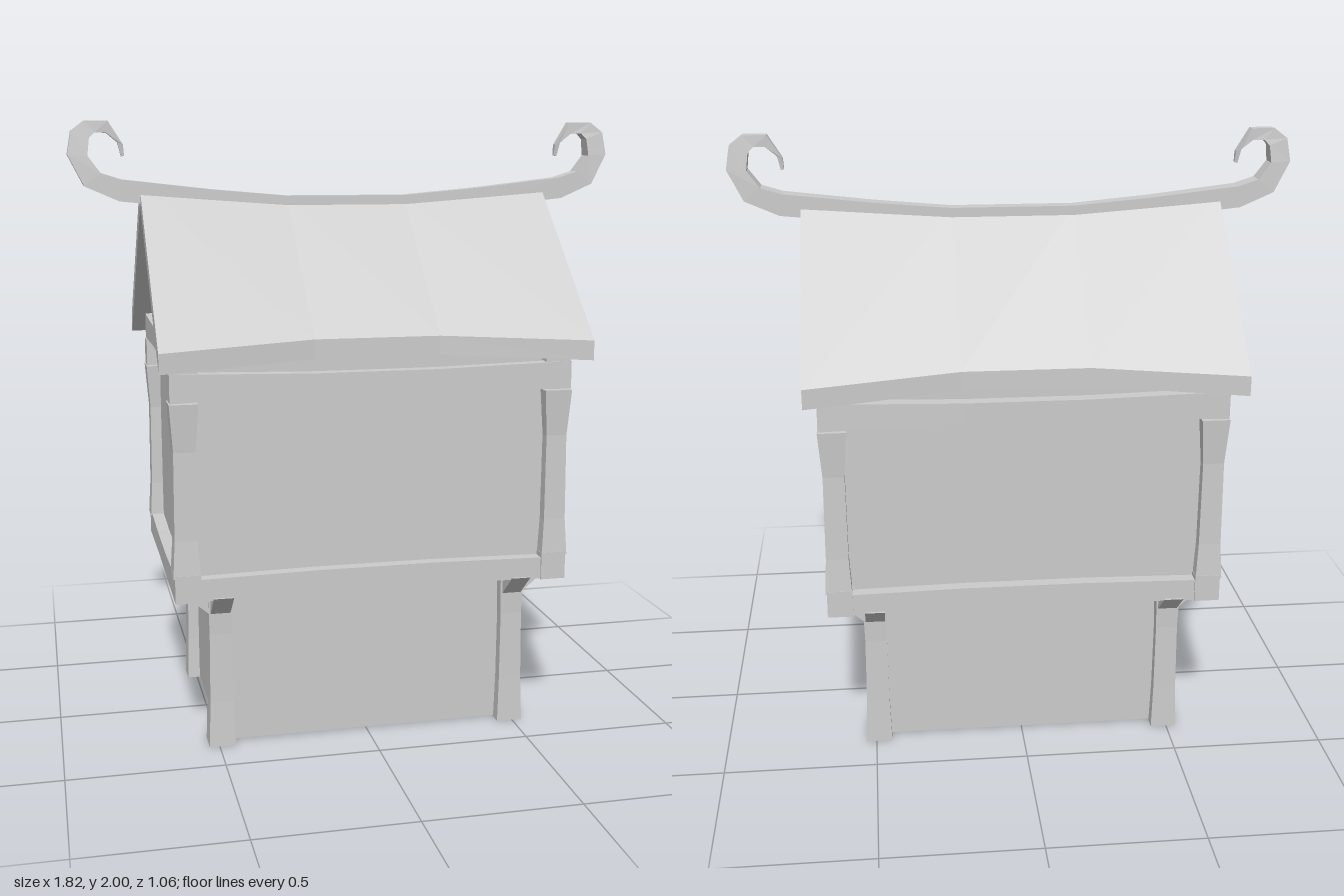
import * as THREE from 'three';

const grey = new THREE.MeshStandardMaterial({ color: 0xcccccc, flatShading: true });
const sheet = new THREE.MeshStandardMaterial({ color: 0xcccccc, flatShading: true, side: THREE.DoubleSide });

// Faceted solid skinned over a list of rings (each ring: array of [x, y, z])
function loft(name, rings, { capped = true, material = grey } = {}) {
  const tris = [];
  const quad = (a, b, c, d) => tris.push([a, b, c], [a, c, d]);
  const n = rings[0].length;
  for (let i = 0; i < rings.length - 1; i++) {
    for (let j = 0; j < n; j++) {
      const k = (j + 1) % n;
      quad(rings[i][j], rings[i][k], rings[i + 1][k], rings[i + 1][j]);
    }
  }
  if (capped) {
    const first = rings[0], last = rings[rings.length - 1];
    for (let j = 1; j < n - 1; j++) {
      tris.push([first[0], first[j + 1], first[j]], [last[0], last[j], last[j + 1]]);
    }
  }
  // Turn the faces outward if the enclosed volume is negative
  const o = new THREE.Vector3(...rings[0][0]);
  let volume = 0;
  for (const t of tris) {
    const [a, b, c] = t.map((p) => new THREE.Vector3(...p).sub(o));
    volume += a.dot(b.cross(c));
  }
  if (volume < 0) tris.forEach((t) => t.reverse());
  const g = new THREE.BufferGeometry();
  g.setAttribute('position', new THREE.Float32BufferAttribute(tris.flat(2), 3));
  g.computeVertexNormals();
  const mesh = new THREE.Mesh(g, material);
  mesh.name = name;
  return mesh;
}

const rectY = (x, z, hx, hz, y) => [
  [x - hx, y, z - hz], [x + hx, y, z - hz], [x + hx, y, z + hz], [x - hx, y, z + hz],
];

// Square post, sections given as [y, half width]
const post = (name, x, z, sections) =>
  loft(name, sections.map(([y, h]) => rectY(x, z, h, h, y)));

// Slightly bowed beam along x or z, sections given as [position, bottom, top]
function beam(name, axis, offset, half, ends) {
  const stations = [...ends.map(([p, b, t]) => [-p, b, t]), ...ends.slice().reverse()];
  return loft(name, stations.map(([p, b, t]) =>
    [[offset - half, b], [offset + half, b], [offset + half, t], [offset - half, t]]
      .map(([q, y]) => (axis === 'x' ? [p, y, q] : [q, y, p]))));
}

export function createModel() {
  const model = new THREE.Group();
  const add = (...parts) => model.add(...parts);
  const signs = [-1, 1];

  // Walls and floor
  add(
    loft('lowerWalls', [rectY(0, 0, 0.49, 0.315, 0.005), rectY(0, 0, 0.49, 0.315, 0.54)],
      { capped: false, material: sheet }),
    loft('upperWalls', [rectY(0, 0, 0.6, 0.395, 0.55), rectY(0, 0, 0.6, 0.395, 1.31)],
      { capped: false, material: sheet }),
    loft('floor', [rectY(0, 0, 0.6, 0.4, 0.54), rectY(0, 0, 0.6, 0.4, 0.57)]),
  );

  for (const sx of signs) {
    for (const sz of signs) {
      // Corner posts with a slim waist
      add(
        post('lowerPost', sx * 0.49, sz * 0.315,
          [[0, 0.043], [0.15, 0.038], [0.38, 0.036], [0.53, 0.04]]),
        post('upperPost', sx * 0.603, sz * 0.398,
          [[0.6, 0.043], [0.72, 0.036], [1.0, 0.034], [1.15, 0.045]]),
      );
      // Diagonal braces from the lower posts out to the floor beams
      const profile = [[0.03, 0.445], [0.13, 0.53], [0.075, 0.53], [0.03, 0.49]];
      add(
        loft('sideBrace', [-0.032, 0.032].map((w) =>
          profile.map(([d, y]) => [sx * (0.49 + d), y, sz * 0.315 + w]))),
        loft('frontBrace', [-0.032, 0.032].map((w) =>
          profile.map(([d, y]) => [sx * 0.49 + w, y, sz * (0.315 + d)]))),
      );
    }
  }

  // Floor beams, wall beams and tie beams
  for (const s of signs) {
    add(
      beam('floorBeam', 'x', s * 0.398, 0.038, [[0.635, 0.52, 0.592], [0.2, 0.528, 0.6]]),
      beam('sideFloorBeam', 'z', s * 0.6, 0.041, [[0.442, 0.52, 0.61], [0.15, 0.526, 0.597]]),
      beam('wallBeam', 'x', s * 0.4, 0.039, [[0.645, 1.153, 1.243], [0.2, 1.166, 1.232]]),
      beam('tieBeam', 'z', s * 0.6, 0.041, [[0.44, 1.243, 1.33], [0.15, 1.253, 1.323]]),
    );
    // Gable infill under the roof
    add(loft('gable', [0.585, 0.615].map((x) =>
      [[s * x, 1.3, -0.43], [s * x, 1.3, 0.43], [s * x, 1.34, 0.43], [s * x, 1.74, 0], [s * x, 1.34, -0.43]])));
  }

  // Roof slopes: [x, eave z, eave top, eave bottom, apex top, apex bottom]
  const roof = [
    [-0.683, 0.528, 1.32, 1.257, 1.795, 1.735], [-0.2, 0.457, 1.34, 1.28, 1.752, 1.692],
    [0.2, 0.457, 1.34, 1.28, 1.752, 1.692], [0.683, 0.528, 1.32, 1.257, 1.795, 1.735],
  ];
  for (const s of signs) {
    add(loft('roofSlope', roof.map(([x, z, top, bottom, apex, under]) =>
      [[x, top, s * z], [x, bottom, s * z], [x, under, 0], [x, apex, 0]])));
  }

  // Ridge with scrolled ends: [outer x, outer y, inner x, inner y, half depth]
  const half = [
    [0.2, 1.695, 0.2, 1.76, 0.025],
    [0.45, 1.715, 0.45, 1.782, 0.029],
    [0.75, 1.746, 0.74, 1.815, 0.033],
    [0.86, 1.794, 0.807, 1.836, 0.033],
    [0.91, 1.894, 0.847, 1.89, 0.03],
    [0.897, 1.968, 0.84, 1.945, 0.025],
    [0.855, 2.0, 0.822, 1.963, 0.021],
    [0.78, 2.0, 0.785, 1.962, 0.017],
    [0.733, 1.926, 0.75, 1.932, 0.011],
    [0.73, 1.89, 0.74, 1.887, 0.006],
  ];
  const mirrored = half.map(([a, b, c, d, w]) => [-a, b, -c, d, w]).reverse();
  add(loft('scrolledRidge', [...mirrored, ...half].map(([a, b, c, d, w]) =>
    [[a, b, -w], [a, b, w], [c, d, w], [c, d, -w]])));

  return model;
}
